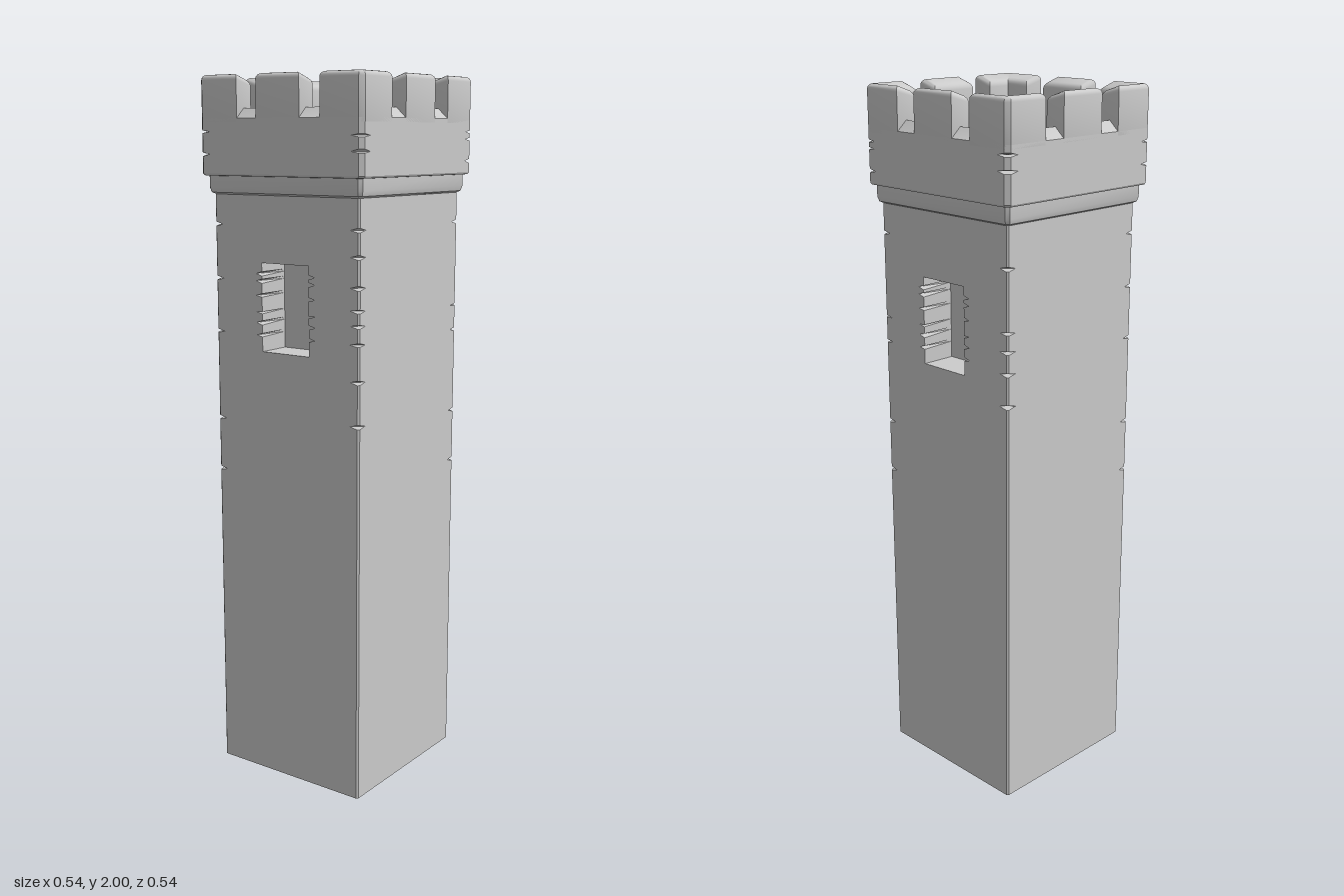
import * as THREE from 'three';
import { toCreasedNormals } from 'three/addons/utils/BufferGeometryUtils.js';

const material = new THREE.MeshStandardMaterial({ color: 0xcccccc });
const SHAFT = 0.245, CROWN = 0.272, INNER = 0.212;
const WINDOW = { bottom: 1.255, top: 1.5, half: 0.08, depth: 0.1 };
const WINDOW_CRACKS = [1.3, 1.335, 1.365, 1.41, 1.45, 1.47];

// Crack heights for the corners (+x+z), (+x-z), (-x-z), (-x+z)
const SHAFT_CRACKS = [
  [0.9, 1.05, 1.29, 1.36, 1.6],
  [1.2, 1.29, 1.35, 1.4, 1.57],
  [0.9, 1.05, 1.3, 1.45, 1.6],
  [1.08, 1.2, 1.3, 1.35, 1.39, 1.45, 1.53, 1.6],
];
const CROWN_CRACKS = [[1.77, 1.83, 1.85], [1.82, 1.86], [1.79, 1.85], [1.8, 1.84]];

// Square outline with corner cuts; optionally a window recess in both x faces
function outline(h, cuts, mouth = 0) {
  const [a, b, c, d] = cuts.map((cut) => h - cut);
  const back = h - WINDOW.depth, w = WINDOW.half;
  const right = mouth ? [[h, mouth], [back, w], [back, -w], [h, -mouth]] : [];
  const left = right.map(([x, z]) => [-x, -z]);
  return [[a, h], [h, a], ...right, [h, -b], [b, -h],
    [-c, -h], [-h, -c], ...left, [-h, d], [-d, h]];
}

// Skin stacked rings { y, points }, with optional end caps
function loft(rings, capBottom, capTop) {
  const pos = [];
  const put = (ring, i) => pos.push(ring.points[i][0], ring.y, ring.points[i][1]);
  for (let r = 0; r + 1 < rings.length; r++) {
    const lo = rings[r], hi = rings[r + 1], n = lo.points.length;
    for (let i = 0; i < n; i++) {
      const j = (i + 1) % n;
      put(lo, i); put(lo, j); put(hi, j);
      put(lo, i); put(hi, j); put(hi, i);
    }
  }
  const cap = (ring, up) => {
    const flat = ring.points.map(([x, z]) => new THREE.Vector2(x, -z));
    for (const [i, j, k] of THREE.ShapeUtils.triangulateShape(flat, [])) {
      for (const v of up ? [i, j, k] : [i, k, j]) put(ring, v);
    }
  };
  if (capBottom) cap(rings[0], false);
  if (capTop) cap(rings[rings.length - 1], true);
  const geo = new THREE.BufferGeometry();
  geo.setAttribute('position', new THREE.Float32BufferAttribute(pos, 3));
  return toCreasedNormals(geo, 0.5);
}

// Rings of a wall section whose corners are nicked by cracks
function crackedRings(y0, y1, h, baseCut, cracks, recessed = false) {
  const gap = 0.006, levels = new Set([y0, y1]);
  const all = [...cracks.flat(), ...(recessed ? WINDOW_CRACKS : [])];
  for (const y of all) {
    if (y - gap > y0 && y + gap < y1) [y - gap, y, y + gap].forEach((v) => levels.add(v));
  }
  return [...levels].sort((p, q) => p - q).map((y) => {
    const cuts = cracks.map((list) => baseCut + (list.includes(y) ? 0.024 : 0));
    const mouth = recessed ? WINDOW.half + (WINDOW_CRACKS.includes(y) ? 0.02 : 0) : 0;
    return { y, points: outline(h, cuts, mouth) };
  });
}

const plainRing = (h, y, cut) => ({ y, points: outline(h, [cut, cut, cut, cut]) });

// Battlement block: bevelled extrusion whose top slopes down to the inside
function merlonGeometry(points) {
  const shape = new THREE.Shape(points.map(([x, y]) => new THREE.Vector2(x, y)));
  const bevel = 0.014;
  const geo = new THREE.ExtrudeGeometry(shape, {
    depth: 0.14 - 2 * bevel, bevelThickness: bevel, bevelSize: bevel,
    bevelOffset: -bevel, bevelSegments: 4,
  });
  geo.rotateX(-Math.PI / 2);
  geo.translate(0, 1.86 + bevel, 0);
  const p = geo.attributes.position;
  for (let i = 0; i < p.count; i++) {
    const inset = CROWN - Math.max(Math.abs(p.getX(i)), Math.abs(p.getZ(i)));
    if (p.getY(i) > 1.95) p.setY(i, p.getY(i) - 0.35 * Math.max(0, inset - bevel));
  }
  return toCreasedNormals(geo, 0.6);
}

export function createModel() {
  const model = new THREE.Group();
  model.name = 'tower';
  const add = (name, geometry, parent = model) => {
    const mesh = new THREE.Mesh(geometry, material);
    mesh.name = name;
    parent.add(mesh);
    return mesh;
  };

  // Shaft, split at the window band
  add('lowerShaft', loft(crackedRings(0, WINDOW.bottom, SHAFT, 0.005, SHAFT_CRACKS), true, true));
  add('windowBand', loft(crackedRings(WINDOW.bottom, WINDOW.top, SHAFT, 0.005, SHAFT_CRACKS, true)));
  add('upperShaft', loft(crackedRings(WINDOW.top, 1.69, SHAFT, 0.005, SHAFT_CRACKS), true, true));

  // Moulding under the crown
  add('corbel', loft([
    plainRing(SHAFT, 1.682, 0.006), plainRing(0.254, 1.687, 0.008),
    plainRing(0.258, 1.7, 0.009), plainRing(0.258, 1.737, 0.009),
  ], true, true));

  // Crown wall: outside, ridged notch floor, inside and roof floor
  add('parapet', loft([
    plainRing(0.258, 1.732, 0.009), plainRing(0.269, 1.733, 0.012),
    ...crackedRings(1.738, 1.885, CROWN, 0.012, CROWN_CRACKS),
    plainRing(0.242, 1.912, 0.01), plainRing(INNER, 1.885, 0.008), plainRing(INNER, 1.74, 0.008),
  ], true, true));

  // Battlements, one corner and one middle block per side
  const notch = 0.138, mid = 0.072, chamfer = CROWN - 0.012;
  const corner = merlonGeometry([
    [notch, CROWN], [notch, INNER], [INNER, INNER], [INNER, notch],
    [CROWN, notch], [CROWN, chamfer], [chamfer, CROWN],
  ]);
  const middle = merlonGeometry([[-mid, INNER], [mid, INNER], [mid, CROWN], [-mid, CROWN]]);
  const battlements = new THREE.Group();
  battlements.name = 'battlements';
  model.add(battlements);
  for (let i = 0; i < 4; i++) {
    add('cornerMerlon', corner, battlements).rotation.y = i * Math.PI / 2;
    add('middleMerlon', middle, battlements).rotation.y = i * Math.PI / 2;
  }
  return model;
}
